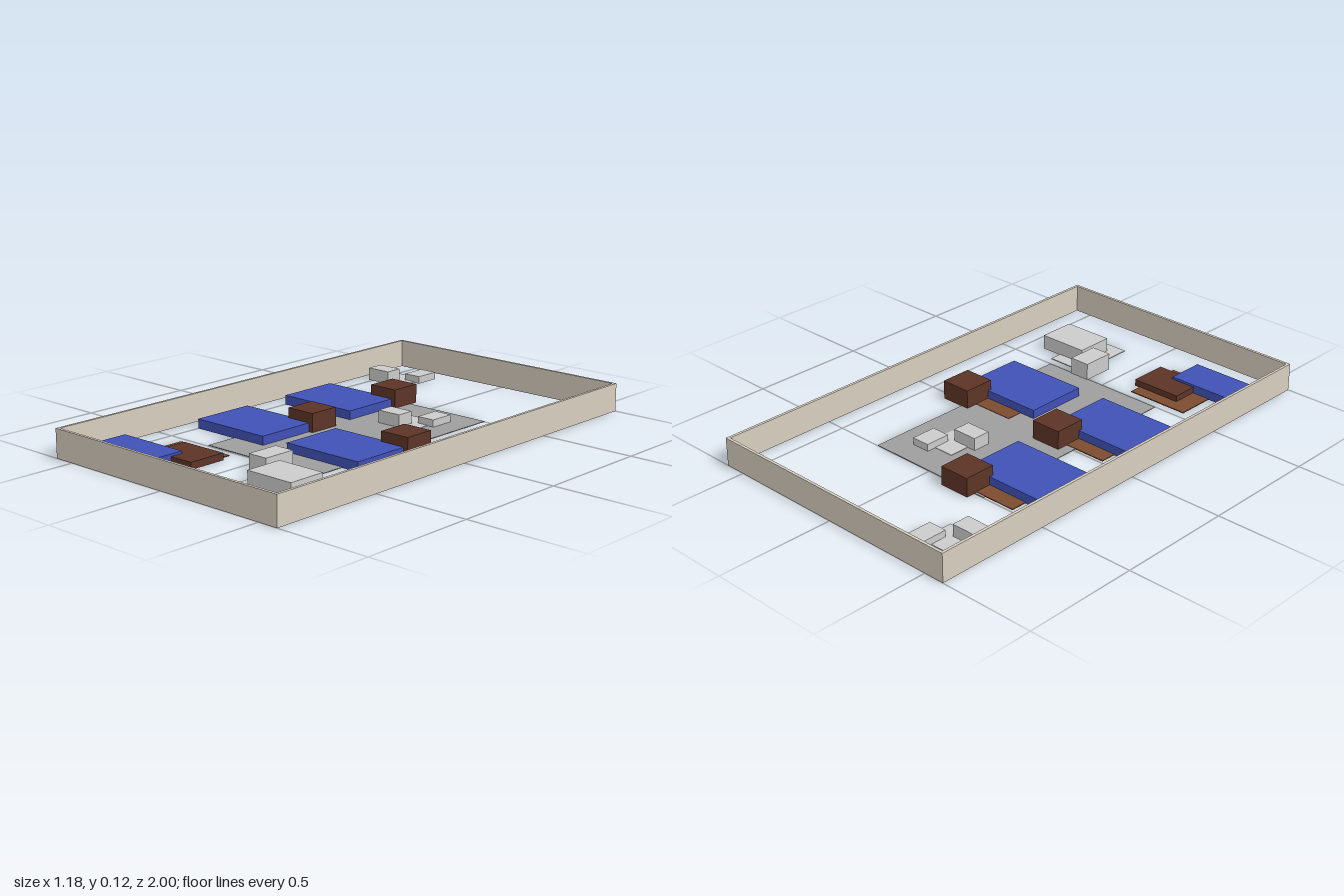
import * as THREE from 'three';

const mat = (color) => new THREE.MeshStandardMaterial({ color });

export function createModel() {
  const model = new THREE.Group();
  model.name = 'roomLayout';
  const wall = mat(0xd7cebf), grey = mat(0xcccccc), rugGrey = mat(0x9e9e9e);
  const blue = mat(0x3f51b5), brown = mat(0x7c4b2e), darkBrown = mat(0x5d3427);

  // Box given by its x, y and z ranges
  function block(parent, name, material, [x0, x1], [y0, y1], [z0, z1]) {
    const mesh = new THREE.Mesh(new THREE.BoxGeometry(x1 - x0, y1 - y0, z1 - z0), material);
    mesh.position.set((x0 + x1) / 2, (y0 + y1) / 2, (z0 + z1) / 2);
    mesh.name = name;
    parent.add(mesh);
  }
  function group(name, x = 0, z = 0) {
    const g = new THREE.Group();
    g.name = name;
    g.position.set(x, 0, z);
    model.add(g);
    return g;
  }

  // Low outer walls, open above and below
  const walls = group('walls');
  const W = 0.59, T = 0.012, H = 0.12;
  for (const s of [-1, 1]) {
    const side = [s * W, s * (W - T)].sort((a, b) => a - b);
    const end = [s, s * (1 - T)].sort((a, b) => a - b);
    block(walls, 'sideWall', wall, side, [0, H], [-1, 1]);
    block(walls, 'endWall', wall, [T - W, W - T], [0, H], end);
  }

  // Large rug on the floor
  block(model, 'rug', rugGrey, [-0.29, 0.29], [0, 0.003], [-0.5, 0.495]);

  // Three beds, each with a flat base and a cabinet
  for (const [x, z] of [[-0.5, -0.42], [-0.5, 0.08], [0, 0.08]]) {
    const bed = group('bed', x, z);
    block(bed, 'mattress', blue, [0, 0.37], [0, 0.04], [0, 0.275]);
    block(bed, 'bedBase', brown, [0.07, 0.345], [0.001, 0.005], [-0.07, 0.205]);
    block(bed, 'cabinet', darkBrown, [0.255, 0.39], [0.001, 0.082], [-0.12, 0.017]);
  }

  // Seating corner at the front
  const seating = group('seating');
  block(seating, 'seatBase', brown, [-0.405, -0.13], [0, 0.004], [0.535, 0.81]);
  block(seating, 'lowTable', darkBrown, [-0.325, -0.105], [0.001, 0.03], [0.59, 0.755]);
  block(seating, 'couch', blue, [-0.545, -0.215], [0.001, 0.04], [0.70, 0.865]);

  // Grey counter and stool on a mat
  const counter = group('counterArea');
  block(counter, 'counterMat', grey, [0.14, 0.32], [0, 0.004], [0.535, 0.81]);
  block(counter, 'counter', grey, [0.195, 0.415], [0.001, 0.064], [0.59, 0.755]);
  block(counter, 'stool', grey, [0.075, 0.165], [0.001, 0.074], [0.49, 0.63]);

  // Two matching sets of small grey fixtures
  for (const [x, z] of [[-0.5, -0.5], [0, 0]]) {
    const set = group('fixtureSet', x, z);
    block(set, 'fixtureMat', grey, [0.022, 0.163], [0.001, 0.005], [-0.36, -0.217]);
    block(set, 'tallFixture', grey, [-0.016, 0.095], [0.001, 0.056], [-0.27, -0.193]);
    block(set, 'lowFixture', grey, [0.112, 0.193], [0.001, 0.033], [-0.4, -0.29]);
  }
  return model;
}
